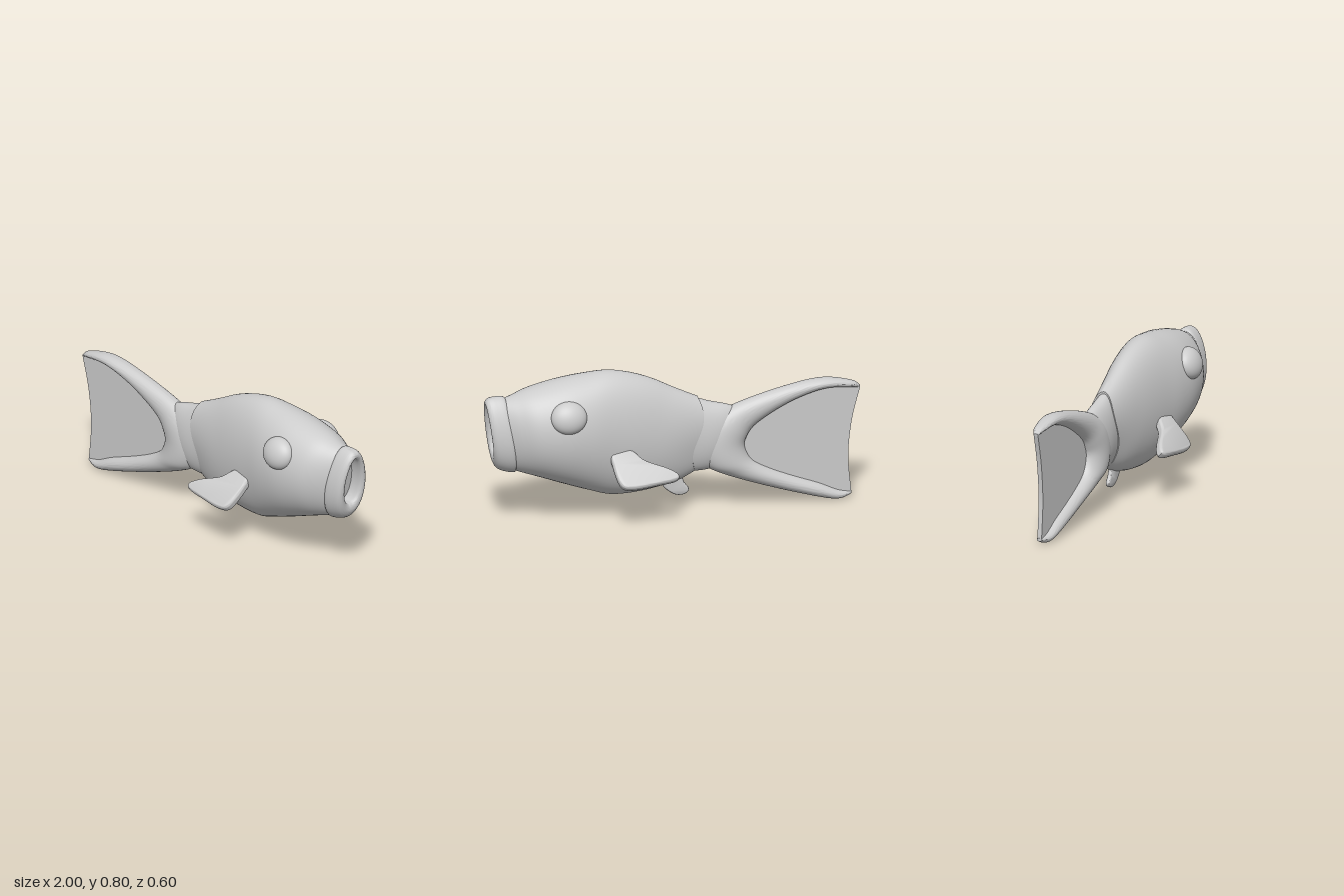
import * as THREE from 'three';
import { toCreasedNormals } from 'three/addons/utils/BufferGeometryUtils.js';

const material = new THREE.MeshStandardMaterial({ color: 0xcccccc });
const SIDES = 56;

function part(name, geometry) {
  const mesh = new THREE.Mesh(geometry, material);
  mesh.name = name;
  return mesh;
}

// Smoothly resamples a list of stations, each a row of numbers
function resample(stations, count) {
  const columns = stations[0].map((_, k) => new THREE.SplineCurve(stations.map((s) => new THREE.Vector2(s[k], 0))));
  return Array.from({ length: count + 1 }, (_, i) => columns.map((c) => c.getPoint(i / count).x));
}

// Skins closed rings of points and closes both ends
function loft(rows, pointAt) {
  const rings = rows.map((row) =>
    Array.from({ length: SIDES }, (_, j) => pointAt(row, (j / SIDES) * Math.PI * 2)));
  const cap = (ring) => {
    const centre = ring.reduce((sum, p) => sum.add(p), new THREE.Vector3()).divideScalar(SIDES);
    return ring.map(() => centre);
  };
  const all = [cap(rings[0]), ...rings, cap(rings[rings.length - 1])];
  const index = [];
  for (let i = 0; i < all.length - 1; i++) {
    for (let j = 0; j < SIDES; j++) {
      const k = (j + 1) % SIDES;
      const a = i * SIDES + j, b = i * SIDES + k;
      if (i > 0) index.push(a, b, a + SIDES);
      if (i < all.length - 2) index.push(b, b + SIDES, a + SIDES);
    }
  }
  const geometry = new THREE.BufferGeometry().setFromPoints(all.flat());
  geometry.setIndex(index);
  return toCreasedNormals(geometry, 0.8);
}

// Upright oval section: x at top, x at bottom, top y, bottom y, half width
function oval([xTop, xBottom, top, bottom, half], a, egg = 0) {
  const c = Math.cos(a), t = (c + 1) / 2;
  return new THREE.Vector3(
    xBottom + (xTop - xBottom) * t,
    bottom + (top - bottom) * t,
    half * Math.sin(a) * (1 - egg * c));
}

// Flat fin with rounded edges, outlined by a closed spline
function finGeometry(points, thickness) {
  const curve = new THREE.CatmullRomCurve3(points.map(([x, y]) => new THREE.Vector3(x, y, 0)), true, 'centripetal');
  const shape = new THREE.Shape(curve.getPoints(48).slice(0, -1).map((p) => new THREE.Vector2(p.x, p.y)));
  const bevel = thickness / 2 - 0.002;
  const geometry = new THREE.ExtrudeGeometry(shape, {
    depth: 0.004, bevelThickness: bevel, bevelSize: Math.min(bevel, 0.014), bevelSegments: 5,
  });
  return toCreasedNormals(geometry.translate(0, 0, -0.002), 0.8);
}

function createBody() {
  const rows = resample([
    [-0.125, -0.125, 0.625, 0.215, 0.077],
    [0, 0, 0.69, 0.165, 0.105],
    [0.17, 0.17, 0.765, 0.13, 0.137],
    [0.33, 0.33, 0.802, 0.125, 0.165],
    [0.47, 0.46, 0.795, 0.162, 0.19],
    [0.61, 0.59, 0.775, 0.207, 0.2],
    [0.76, 0.71, 0.74, 0.25, 0.18],
    [0.85, 0.79, 0.707, 0.276, 0.138],
    [0.91, 0.86, 0.685, 0.3, 0.096],
  ], 48);
  return part('body', loft(rows, (row, a) => {
    const p = oval(row, a);
    // Wavy rear edge
    const fade = Math.max(0, 1 - (row[0] + 0.125) / 0.2);
    p.x -= 0.03 * fade * Math.sin((p.y - 0.42) * 14);
    return p;
  }));
}

function createMouth() {
  // Outer lip, rounded rim, then the cavity and its floor
  const rows = resample([
    [0.89, 0.84, 0.685, 0.3, 0.092],
    [0.905, 0.85, 0.703, 0.286, 0.106],
    [0.945, 0.9, 0.705, 0.295, 0.105],
    [0.98, 0.94, 0.7, 0.315, 0.098],
    [1.0, 0.96, 0.68, 0.35, 0.08],
    [0.99, 0.952, 0.656, 0.384, 0.06],
    [0.955, 0.915, 0.65, 0.39, 0.057],
    [0.925, 0.885, 0.65, 0.39, 0.056],
  ], 42);
  return part('mouth', loft(rows, (row, a) => oval(row, a, 0.15)));
}

function createTail() {
  const tail = new THREE.Group();
  tail.name = 'tail';
  // U-shaped rim: outer x, outer y, inner x, inner y, half thickness
  const stations = [
    [-1, 0.618, -0.998, 0.603, 0.012],
    [-0.955, 0.648, -0.95, 0.613, 0.03],
    [-0.8, 0.673, -0.8, 0.615, 0.047],
    [-0.6, 0.642, -0.62, 0.555, 0.05],
    [-0.34, 0.567, -0.45, 0.455, 0.06],
    [-0.2, 0.49, -0.395, 0.385, 0.075],
    [-0.14, 0.37, -0.385, 0.33, 0.08],
    [-0.17, 0.25, -0.42, 0.26, 0.08],
    [-0.27, 0.188, -0.5, 0.21, 0.067],
    [-0.5, 0.105, -0.63, 0.155, 0.055],
    [-0.75, 0.03, -0.78, 0.1, 0.05],
    [-0.88, 0.004, -0.88, 0.055, 0.04],
    [-0.953, 0.025, -0.953, 0.042, 0.014],
  ];
  const rows = resample(stations, 72);
  tail.add(part('tailRim', loft(rows, ([ox, oy, ix, iy, h], a) => {
    const t = (Math.cos(a) + 1) / 2;
    return new THREE.Vector3(ix + (ox - ix) * t, iy + (oy - iy) * t, h * Math.sin(a));
  })));
  // Thin web between the rim, with a concave rear edge
  const web = new THREE.Shape(rows.map(([ox, oy, ix, iy]) => new THREE.Vector2((ox + ix) / 2, (oy + iy) / 2)));
  web.splineThru([[-0.937, 0.2], [-0.94, 0.32], [-0.96, 0.46], [-0.999, 0.61]].map((p) => new THREE.Vector2(...p)));
  const webGeometry = new THREE.ExtrudeGeometry(web, { depth: 0.024, bevelEnabled: false });
  tail.add(part('tailWeb', webGeometry.translate(0, 0, -0.012)));
  return tail;
}

export function createModel() {
  const model = new THREE.Group();
  model.name = 'fish';
  model.add(createBody(), createMouth(), createTail());

  // Joint linking the body to the tail
  const joint = resample([
    [-0.34, -0.24, 0.55, 0.24, 0.055],
    [-0.28, -0.21, 0.572, 0.225, 0.07],
    [-0.2, -0.17, 0.592, 0.218, 0.076],
    [-0.12, -0.1, 0.617, 0.215, 0.072],
    [-0.05, -0.05, 0.62, 0.22, 0.07],
  ], 16);
  model.add(part('tailJoint', loft(joint, (row, a) => oval(row, a))));

  // Eyes and side fins on both flanks
  const sideFin = finGeometry([
    [0.345, -0.04], [0.348, 0.03], [0.322, 0.145], [0.285, 0.157],
    [0.15, 0.143], [0.035, 0.118], [0.07, 0.085], [0.2, 0.02], [0.26, -0.04],
  ], 0.046);
  for (const side of [1, -1]) {
    const label = side > 0 ? 'front' : 'back';
    const eye = part(label + 'Eye', new THREE.SphereGeometry(1, 40, 28));
    eye.scale.set(0.096, 0.086, 0.06);
    eye.position.set(0.59, 0.615, 0.166 * side);
    eye.rotation.x = -0.33 * side;
    model.add(eye);

    // Fin lies in a plane sloping outward and down
    const fin = part(label + 'SideFin', sideFin);
    fin.position.set(0, 0.358, 0.168 * side);
    fin.rotation.x = side > 0 ? Math.PI / 4 : Math.PI * 3 / 4;
    if (side > 0) fin.rotation.x = Math.PI - Math.PI * 3 / 4 + Math.PI / 2;
    else fin.rotation.x = -Math.PI * 3 / 4;
    model.add(fin);
  }

  // Small fin under the belly
  model.add(part('bellyFin', finGeometry([
    [-0.078, 0.115], [-0.055, 0.1], [-0.015, 0.103], [0.045, 0.155], [0.04, 0.21], [-0.03, 0.2], [-0.055, 0.15],
  ], 0.024)));
  return model;
}
